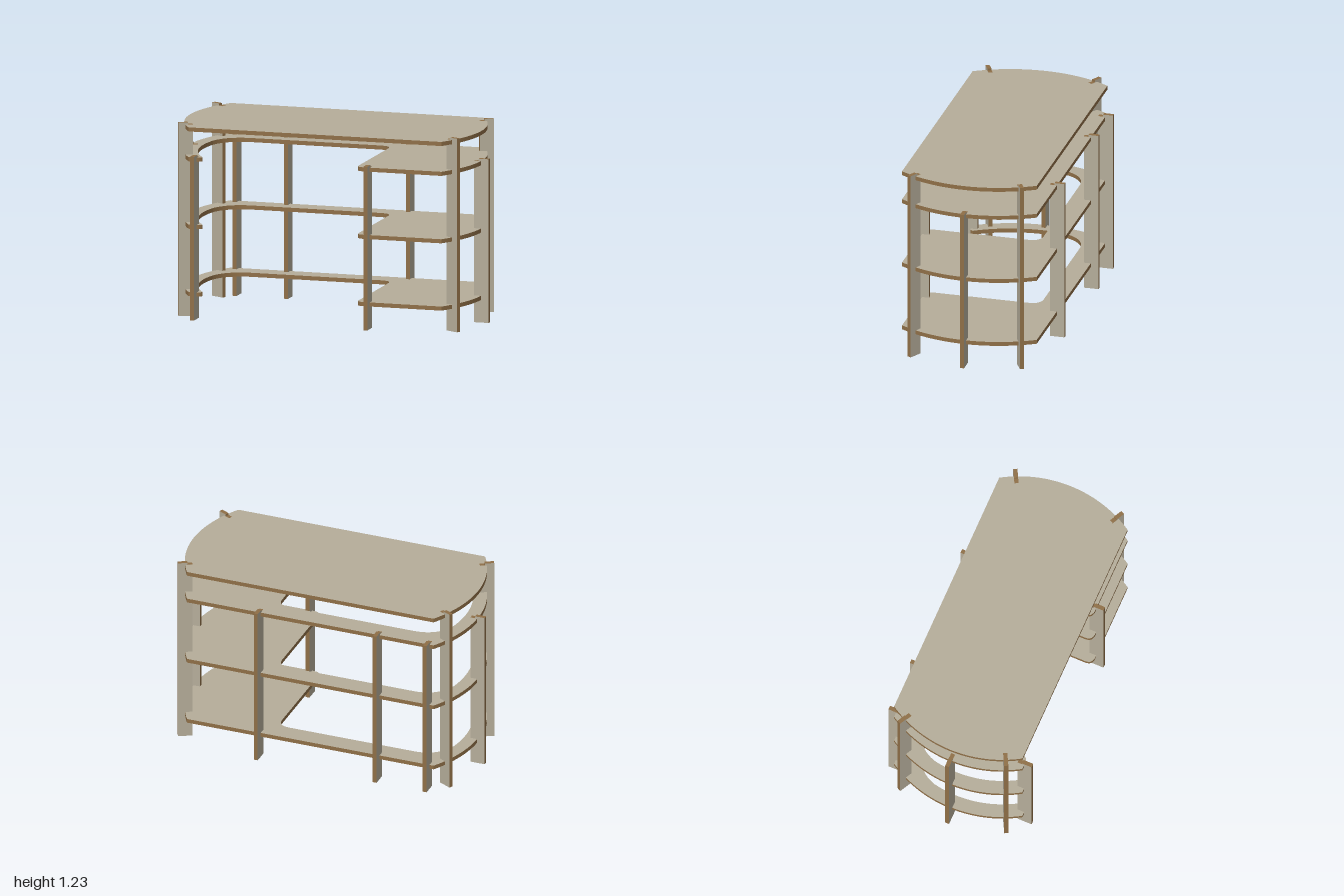
import * as THREE from 'three';

const T = 0.026;                        // panel thickness
const X = 0.825, Z = 0.435;             // panel corners
const R = 0.82, CX = 0.13;              // curved ends: radius and centre offset
const A = Math.asin(Z / R);

export function createModel() {
  const face = new THREE.MeshStandardMaterial({ color: 0xb5ad9a });
  face.name = 'pale panel face';
  const edge = new THREE.MeshStandardMaterial({ color: 0x8f6f47 });
  edge.name = 'brown plywood edge';
  const model = new THREE.Group();
  model.name = 'desk';

  // Flat sheet with pale faces and brown cut edges
  const sheet = (shape, name) => {
    const geo = new THREE.ExtrudeGeometry(shape, { depth: T, bevelEnabled: false, curveSegments: 20 });
    const mesh = new THREE.Mesh(geo, [face, edge]);
    mesh.name = name;
    return mesh;
  };

  // Horizontal panel whose upper face is at height y (shape y becomes z)
  const panel = (shape, name, y) => {
    const mesh = sheet(shape, name);
    mesh.rotation.x = Math.PI / 2;
    mesh.position.y = y;
    model.add(mesh);
  };

  // Shared outline: curved right end, straight back, curved left end
  const outline = () => {
    const s = new THREE.Shape();
    s.moveTo(X, Z);
    s.absarc(CX, 0, R, A, -A, true);
    s.lineTo(-X, -Z);
    s.absarc(-CX, 0, R, Math.PI + A, Math.PI - A, true);
    return s;
  };

  // Table top
  const top = outline();
  top.closePath();
  panel(top, 'tableTop', 1.211);

  // Shelves with the knee opening cut out of the front
  const shelf = outline();
  const r = R - 0.085, back = -0.305, side = 0.27;
  const a0 = Math.PI - Math.asin(0.41 / r), a1 = Math.PI + Math.asin(0.15 / r);
  shelf.lineTo(-0.78, Z);
  shelf.quadraticCurveTo(-0.75, Z, -CX + r * Math.cos(a0), 0.41);
  shelf.absarc(-CX, 0, r, a0, a1, false);
  shelf.quadraticCurveTo(-0.80, back, -0.64, back);
  shelf.lineTo(side - 0.08, back);
  shelf.quadraticCurveTo(side, back, side, back + 0.08);
  shelf.lineTo(side, Z - 0.05);
  shelf.quadraticCurveTo(side, Z, side + 0.05, Z);
  shelf.closePath();
  [['lowerShelf', 0.169], ['middleShelf', 0.595], ['upperShelf', 1.022]]
    .forEach(([name, y]) => panel(shelf, name, y));

  // Upright fin: crosses the panel edge at (x, z), pointing outward at the angle
  const leg = (name, x, z, angle, height, out = 0.05) => {
    const shoulder = height - 0.013, inner = -0.045, lip = -0.014;
    const s = new THREE.Shape([
      [inner, 0], [out, 0], [out, height], [lip, height], [lip, shoulder], [inner, shoulder],
    ].map(([px, py]) => new THREE.Vector2(px, py)));
    const mesh = sheet(s, name);
    mesh.geometry.translate(0, 0, -T / 2);
    mesh.rotation.y = -angle;
    mesh.position.set(x, 0, z);
    model.add(mesh);
  };

  // Tall corner legs and short end legs
  const tilt = THREE.MathUtils.degToRad(28);
  for (const sx of [1, -1]) {
    const end = sx > 0 ? 'left' : 'right';
    for (const sz of [1, -1]) {
      leg(`${end}${sz > 0 ? 'Front' : 'Back'}CornerLeg`, sx * 0.874, sz * 0.343,
        Math.atan2(sz * Math.sin(tilt), sx * Math.cos(tilt)), 1.225, 0.045);
    }
    leg(`${end}EndLeg`, sx * 0.95, 0, sx > 0 ? 0 : Math.PI, 1.036);
  }

  // Short front and back legs
  [-0.785, 0.345].forEach((x) => leg('frontLeg', x, Z, Math.PI / 2, 1.036));
  [-0.785, -0.45, 0.345].forEach((x) => leg('backLeg', x, -Z, -Math.PI / 2, 1.036));

  return model;
}
